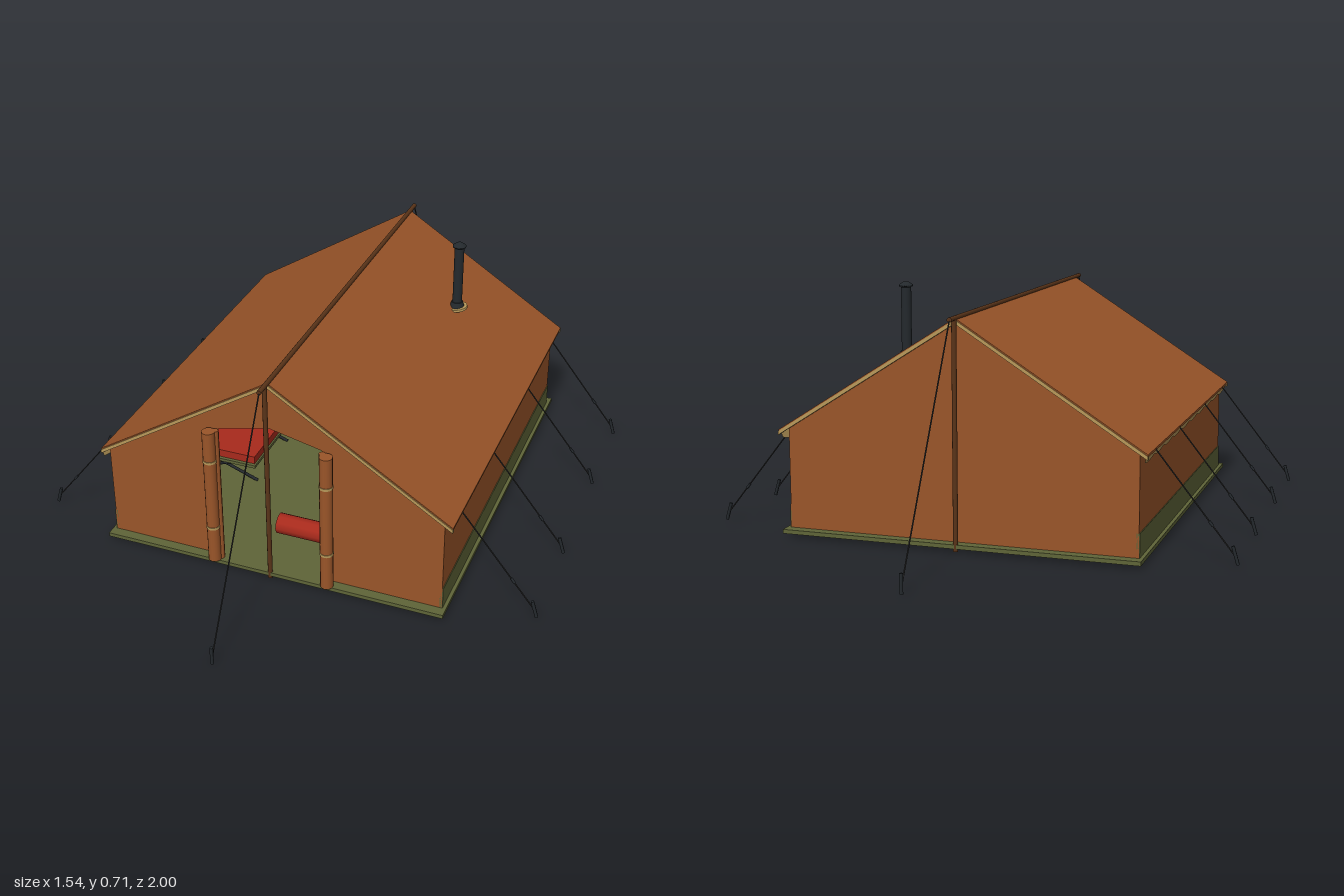
import * as THREE from 'three';

const mat = (color) => new THREE.MeshStandardMaterial({ color, side: THREE.DoubleSide });
const canvas = mat(0x9a5529), wood = mat(0x5a3419), olive = mat(0x5f6438), tan = mat(0xb8995a);
const red = mat(0xa82a1c), dark = mat(0x24292d), rope = mat(0x2b2b2b);

const RIDGE = 0.65, EAVE = 0.31, EAVE_X = 0.537, WALL_X = 0.51, WALL_Z = 0.58;
const roofY = (x) => RIDGE - (RIDGE - EAVE) * Math.abs(x) / EAVE_X;
const V = (x, y, z) => new THREE.Vector3(x, y, z);

export function createModel() {
  const tent = new THREE.Group();
  tent.name = 'tent';

  const add = (name, geometry, material, x = 0, y = 0, z = 0) => {
    const m = new THREE.Mesh(geometry, material);
    m.name = name;
    m.position.set(x, y, z);
    tent.add(m);
    return m;
  };
  const box = (name, w, h, d, material, x, y, z) =>
    add(name, new THREE.BoxGeometry(w, h, d), material, x, y, z);
  // Straight round bar between two points
  const bar = (name, a, b, r, material, sides = 10) => {
    const dir = b.clone().sub(a);
    const m = add(name, new THREE.CylinderGeometry(r, r, dir.length(), sides), material);
    m.position.copy(a).add(b).multiplyScalar(0.5);
    m.quaternion.setFromUnitVectors(V(0, 1, 0), dir.normalize());
    return m;
  };
  const polygon = (pts) => new THREE.Shape(pts.map(([x, y]) => new THREE.Vector2(x, y)));
  // Ridge-shaped band, from drop t0 to t1 below the roof line, extruded along z
  const chevron = (name, t0, t1, z0, z1, material) => {
    const s = polygon([[-EAVE_X, EAVE - t0], [0, RIDGE - t0], [EAVE_X, EAVE - t0],
      [EAVE_X, EAVE - t1], [0, RIDGE - t1], [-EAVE_X, EAVE - t1]]);
    add(name, new THREE.ExtrudeGeometry(s, { depth: z1 - z0, bevelEnabled: false }), material, 0, 0, z0);
  };

  // Groundsheet
  box('groundsheet', 1.05, 0.012, 1.22, olive, 0, 0.016, 0);

  // Roof with hemmed gable edges
  chevron('roof', 0, 0.007, -0.597, 0.587, canvas);
  chevron('frontRoofHem', 0.004, 0.015, 0.577, 0.59, tan);
  chevron('backRoofHem', 0.004, 0.015, -0.6, -0.587, tan);

  // Gable walls: closed at the back, door opening at the front
  const top = roofY(WALL_X) - 0.006, peak = RIDGE - 0.006;
  add('backWall', new THREE.ShapeGeometry(polygon([[-WALL_X, 0.02], [WALL_X, 0.02],
    [WALL_X, top], [0, peak], [-WALL_X, top]])), canvas, 0, 0, -WALL_Z);
  add('frontWall', new THREE.ShapeGeometry(polygon([[-WALL_X, 0.02], [-0.155, 0.02],
    [-0.155, 0.465], [0, 0.5], [0.155, 0.465], [0.155, 0.02], [WALL_X, 0.02],
    [WALL_X, top], [0, peak], [-WALL_X, top]])), canvas, 0, 0, WALL_Z);

  // Scalloped valance outline, running along z
  const scallops = 10, half = 0.59;
  const outline = [[half, 0], [-half, 0]];
  for (let i = 0; i <= scallops * 6; i++) {
    const t = i / (scallops * 6);
    outline.push([-half + 2 * half * t, -0.024 - 0.011 * Math.abs(Math.sin(Math.PI * t * scallops))]);
  }
  const valance = new THREE.ShapeGeometry(polygon(outline));

  for (const s of [-1, 1]) {
    // Side wall, mud skirt and valance
    box('sideWall', 0.004, top - 0.02, 2 * WALL_Z, canvas, s * WALL_X, (top + 0.02) / 2, 0);
    box('mudSkirt', 0.009, 0.07, 2 * WALL_Z, olive, s * WALL_X, 0.055, 0);
    const v = add('valance', valance, tan, s * (EAVE_X - 0.002), EAVE, 0);
    v.rotation.set(0, Math.PI / 2, s * -0.35, 'ZYX');

    // Side guy ropes with tensioners and pegs
    for (const z of [-0.5, -0.19, 0.19, 0.5]) {
      const a = V(s * 0.535, EAVE - 0.003, z), b = V(s * 0.755, 0.03, z);
      bar('guyRope', a, b, 0.002, rope, 6);
      bar('tensioner', a.clone().lerp(b, 0.68), a.clone().lerp(b, 0.73), 0.004, dark, 6);
      bar('peg', V(s * 0.765, 0.004, z), V(s * 0.75, 0.055, z), 0.005, dark, 6);
    }

    // Rolled door flap with ties
    const roll = (r, x, z) => bar('rolledDoor', V(s * x, 0.022, z), V(s * x, 0.465, z), r, canvas, 16);
    roll(0.019, 0.176, 0.604);
    roll(0.009, 0.16, 0.592);
    for (const y of [0.14, 0.368])
      bar('doorTie', V(s * 0.176, y - 0.004, 0.604), V(s * 0.176, y + 0.004, 0.604), 0.0205, tan, 16);

    // End pole, ridge guy rope and its peg
    bar('endPole', V(0, 0.002, s * 0.604), V(0, RIDGE, s * 0.604), 0.007, wood);
    bar('ridgeRope', V(0, RIDGE, s * 0.637), V(0, 0.025, s * 0.99), 0.002, rope, 6);
    bar('ridgePeg', V(0, 0, s * 0.995), V(0, 0.055, s * 0.994), 0.005, dark, 6);
  }
  bar('ridgePole', V(0, RIDGE, -0.64), V(0, RIDGE, 0.64), 0.007, wood);

  // Stove, pipe, flashing and rain cap
  const px = 0.262, pz = -0.3;
  box('stove', 0.14, 0.12, 0.2, dark, px + 0.03, 0.13, pz);
  for (const dx of [-0.05, 0.05]) for (const dz of [-0.08, 0.08])
    bar('stoveLeg', V(px + 0.03 + dx, 0.02, pz + dz), V(px + 0.03 + dx, 0.08, pz + dz), 0.006, dark, 6);
  bar('stovePipe', V(px, 0.18, pz), V(px, 0.695, pz), 0.015, dark, 20);
  const flash = bar('flashing', V(px, 0.482, pz), V(px, 0.49, pz), 0.033, tan, 24);
  flash.rotation.z = 0.12;
  add('pipeCollar', new THREE.CylinderGeometry(0.018, 0.024, 0.02, 20), dark, px, 0.497, pz);
  add('rainCap', new THREE.LatheGeometry([[0, 0.712], [0.008, 0.711], [0.021, 0.702],
    [0.021, 0.698], [0, 0.698]].map(([r, y]) => new THREE.Vector2(r, y)), 20), dark, px, 0, pz);

  // Camp bed with crossed legs
  box('bedMattress', 0.24, 0.025, 0.56, red, -0.33, 0.125, -0.04);
  box('bedFrame', 0.25, 0.01, 0.58, olive, -0.33, 0.107, -0.04);
  for (const z of [-0.28, -0.04, 0.2]) for (const s of [-1, 1])
    bar('bedLeg', V(-0.33 - s * 0.11, 0.022, z), V(-0.33 + s * 0.11, 0.104, z), 0.005, dark, 6);

  // Rolled bedding beside the door
  bar('beddingRoll', V(-0.05, 0.055, 0.42), V(0.36, 0.055, 0.42), 0.032, red, 10);

  return tent;
}
